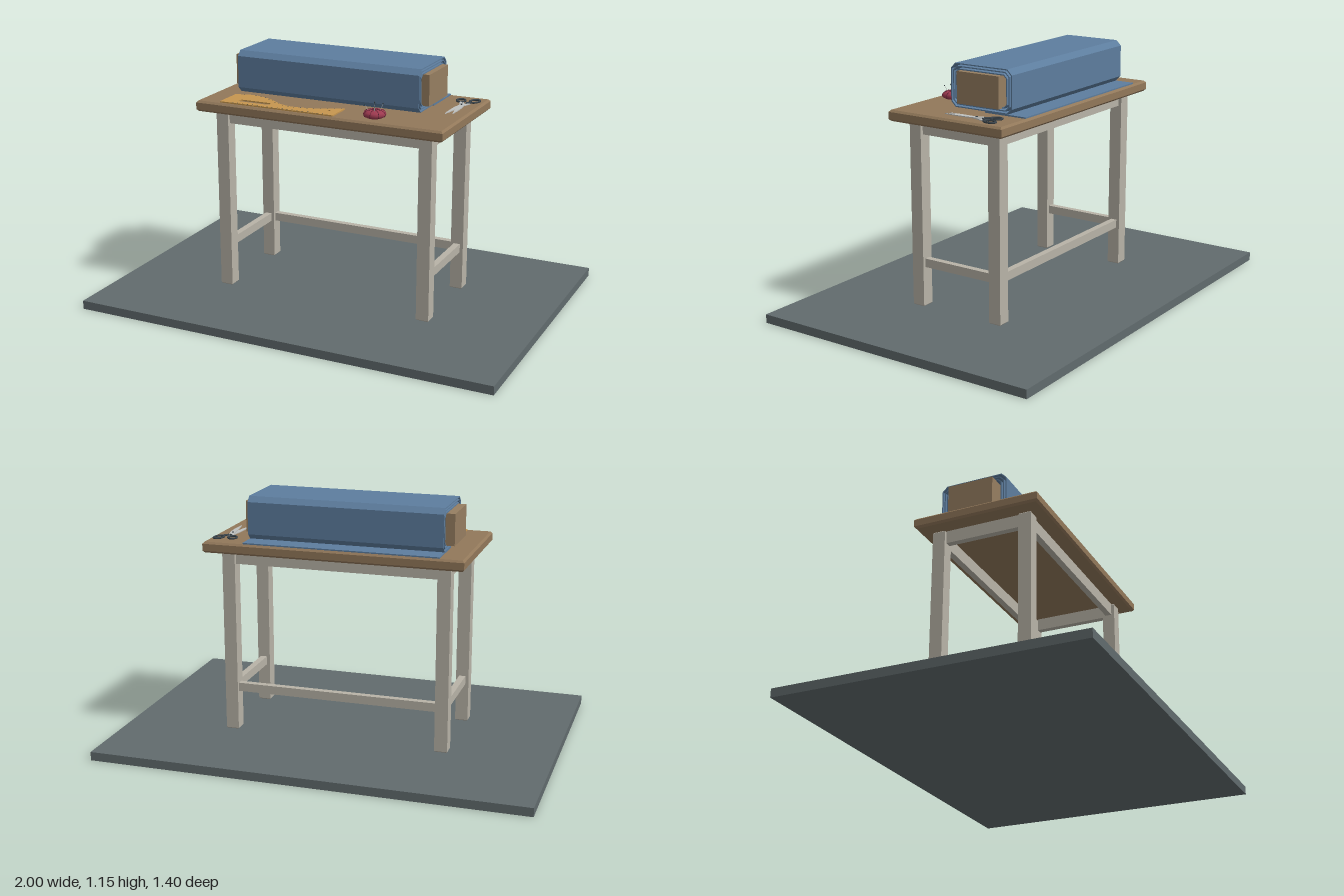
import * as THREE from 'three';

const mat = (name, color, side = THREE.FrontSide) => {
  const m = new THREE.MeshStandardMaterial({ color, side });
  m.name = name;
  return m;
};

export function createModel() {
  const root = new THREE.Group();
  root.name = 'sewingTable';
  const slate = mat('slate floor', 0x616b6d);
  const wood = mat('table wood', 0x92785a);
  const paint = mat('painted frame', 0xb8b3a7);
  const cloth = mat('blue cloth', 0x5d7d9e);
  const board = mat('core board', 0x967e61);
  const amber = mat('ruler amber', 0xc6964f);
  const dark = mat('dark handle', 0x39434a);
  const red = mat('cushion red', 0x9e3a50);
  const seam = mat('cushion seam', 0x5c2233);
  const steel = mat('steel', 0xbfc1bf);

  const add = (name, geo, material, x = 0, y = 0, z = 0, parent = root) => {
    const m = new THREE.Mesh(geo, material);
    m.name = name;
    m.position.set(x, y, z);
    parent.add(m);
    return m;
  };
  const group = (name) => {
    const g = new THREE.Group();
    g.name = name;
    root.add(g);
    return g;
  };
  const box = (w, h, d) => new THREE.BoxGeometry(w, h, d);
  // Box with single-step chamfers on the edges
  const bevelBox = (w, h, d, b) => {
    const X = w / 2 - b, Z = d / 2 - b;
    const s = new THREE.Shape([[-X, -Z], [X, -Z], [X, Z], [-X, Z]].map(p => new THREE.Vector2(...p)));
    const g = new THREE.ExtrudeGeometry(s, { depth: h - 2 * b, bevelEnabled: true, bevelSize: b, bevelThickness: b, bevelSegments: 1 });
    return g.translate(0, 0, -(h / 2 - b)).rotateX(-Math.PI / 2);
  };
  // Flat plate drawn in x and -z, lying from y = 0 upwards
  const plate = (shape, t) =>
    new THREE.ExtrudeGeometry(shape, { depth: t, bevelEnabled: false, curveSegments: 16 }).rotateX(-Math.PI / 2);

  // Floor slab
  add('floor', box(2, 0.04, 1.4), slate, 0, 0.02, 0);

  // Table
  const top = 0.945;
  add('tabletop', bevelBox(1.2, 0.05, 0.6, 0.009), wood, 0, 0.92, 0);
  for (const sx of [-1, 1]) {
    for (const sz of [-1, 1]) add('leg', bevelBox(0.06, 0.855, 0.06, 0.005), paint, sx * 0.5, 0.4675, sz * 0.21);
    add('sideApron', box(0.03, 0.06, 0.36), paint, sx * 0.5, 0.865, 0);
    add('sideStretcher', box(0.03, 0.04, 0.36), paint, sx * 0.5, 0.245, 0);
    add('longApron', box(0.94, 0.06, 0.03), paint, 0, 0.865, sx * 0.21);
  }
  add('backStretcher', box(0.94, 0.04, 0.03), paint, 0, 0.245, -0.21);

  // Bolt of cloth: nested open wraps around a core board, with a loose tail
  const bolt = group('clothBolt');
  const octagon = (w, h, c) => [[-w + c, -h], [w - c, -h], [w, -h + c], [w, h - c],
    [w - c, h], [-w + c, h], [-w, h - c], [-w, -h + c]].map(p => new THREE.Vector2(...p));
  for (let i = 0; i < 3; i++) {
    const d = i * 0.012, t = 0.005;
    const s = new THREE.Shape(octagon(0.161 - d, 0.0975 - d, 0.024 - d * 0.3));
    s.holes.push(new THREE.Path(octagon(0.161 - d - t, 0.0975 - d - t, 0.024 - d * 0.3 - t * 0.6)));
    const g = new THREE.ExtrudeGeometry(s, { depth: 0.9, bevelEnabled: false }).rotateY(Math.PI / 2);
    add('clothWrap', g, cloth, -0.49, 1.0485, -0.059, bolt);
  }
  add('clothTail', box(0.9, 0.006, 0.21), cloth, -0.04, top + 0.003, -0.185, bolt);
  add('coreBoard', box(0.965, 0.142, 0.22), board, -0.045, 1.046, -0.06, bolt);

  // Curved pattern ruler
  const ruler = group('curvedRuler');
  const v = (x, z) => new THREE.Vector2(x, -z);
  const edge = new THREE.SplineCurve([v(0.08, 0.155), v(0.03, 0.18), v(-0.05, 0.213), v(-0.14, 0.227),
    v(-0.21, 0.21), v(-0.28, 0.163), v(-0.35, 0.13), v(-0.42, 0.122), v(-0.485, 0.143)]);
  const outline = new THREE.Shape([v(-0.485, 0.283), v(0.08, 0.283), ...edge.getPoints(40)]);
  const slot = new THREE.Path();
  slot.absarc(-0.27, -0.231, 0.015, -Math.PI / 2, Math.PI / 2, false);
  slot.absarc(-0.4, -0.231, 0.015, Math.PI / 2, Math.PI * 1.5, false);
  const pinHole = new THREE.Path();
  pinHole.absarc(0.03, -0.215, 0.007, 0, Math.PI * 2, false);
  outline.holes.push(slot, pinHole);
  add('rulerPlate', plate(outline, 0.006), amber, 0, top, 0, ruler);
  for (let i = 0; i < 20; i++) {
    const len = i % 5 ? 0.007 : 0.013;
    add('scaleMark', box(0.002, 0.001, len), dark, -0.42 + i * 0.025, top + 0.0064, 0.282 - len / 2, ruler);
    const u = (i + 0.5) / 20, p = edge.getPointAt(u), t = edge.getTangentAt(u);
    // Marks run square to the curved edge
    const mark = add('curveMark', box(0.002, 0.001, 0.006), dark, p.x + -t.y * 0.006, top + 0.0064, -(p.y + t.x * 0.006), ruler);
    mark.rotation.y = Math.atan2(t.y, t.x);
  }

  // Pincushion with seams and ball-headed pins
  const cushion = group('pincushion');
  cushion.position.set(0.25, top, 0.213);
  const profile = [[0, 0], [0.034, 0], [0.046, 0.006], [0.051, 0.016], [0.046, 0.026], [0.034, 0.033], [0.016, 0.035], [0, 0.032]]
    .map(p => new THREE.Vector2(...p));
  add('cushionBody', new THREE.LatheGeometry(profile, 24), red, 0, 0, 0, cushion);
  const seamPath = new THREE.CatmullRomCurve3(profile.slice(2).map(p => new THREE.Vector3(p.x, p.y, 0)));
  for (let i = 0; i < 8; i++) {
    const m = add('seam', new THREE.TubeGeometry(seamPath, 12, 0.0015, 5), seam, 0, 0, 0, cushion);
    m.rotation.y = i * Math.PI / 4;
  }
  add('button', new THREE.SphereGeometry(0.006, 10, 6), seam, 0, 0.033, 0, cushion);
  for (const [x, z, h] of [[-0.027, 0.022, 0.06], [0.012, 0.029, 0.057], [0.026, -0.012, 0.062], [-0.012, -0.026, 0.058], [0.004, 0.008, 0.064]]) {
    const a = new THREE.Vector3(x * 0.8, 0.028, z * 0.8), b = new THREE.Vector3(x * 1.3, h, z * 1.3);
    add('pin', new THREE.TubeGeometry(new THREE.LineCurve3(a, b), 1, 0.001, 5), steel, 0, 0, 0, cushion);
    add('pinHead', new THREE.SphereGeometry(0.003, 8, 6), dark, b.x, b.y, b.z, cushion);
  }

  // Scissors: two crossed blades, pivot screw and loop handles
  const scissors = group('scissors');
  scissors.position.set(0.525, top, -0.12);
  for (const s of [-1, 1]) {
    const blade = new THREE.Shape();
    blade.moveTo(-s * 0.026, 0.05);
    blade.lineTo(-s * 0.006, 0.045);
    blade.lineTo(s * 0.013, 0.005);
    blade.quadraticCurveTo(s * 0.026, -0.06, s * 0.018, -0.155);
    blade.quadraticCurveTo(s * 0.002, -0.09, -s * 0.008, -0.005);
    add('blade', plate(blade, 0.004), steel, 0, s > 0 ? 0.005 : 0.001, 0, scissors);
    const loop = new THREE.TorusGeometry(0.02, 0.0045, 8, 24).rotateX(Math.PI / 2).scale(1, 1, s > 0 ? 1.5 : 1.3);
    const h = add('handleLoop', loop, dark, s * 0.031, 0.006, s > 0 ? -0.09 : -0.08, scissors);
    h.rotation.y = -s * 0.2;
    const shank = new THREE.LineCurve3(new THREE.Vector3(s * 0.024, 0.006, -0.06), new THREE.Vector3(s * 0.004, 0.006, -0.036));
    add('handleShank', new THREE.TubeGeometry(shank, 1, 0.005, 8), dark, 0, 0, 0, scissors);
  }
  add('pivotScrew', new THREE.CylinderGeometry(0.005, 0.005, 0.004, 12), dark, 0, 0.01, 0, scissors);

  return root;
}
